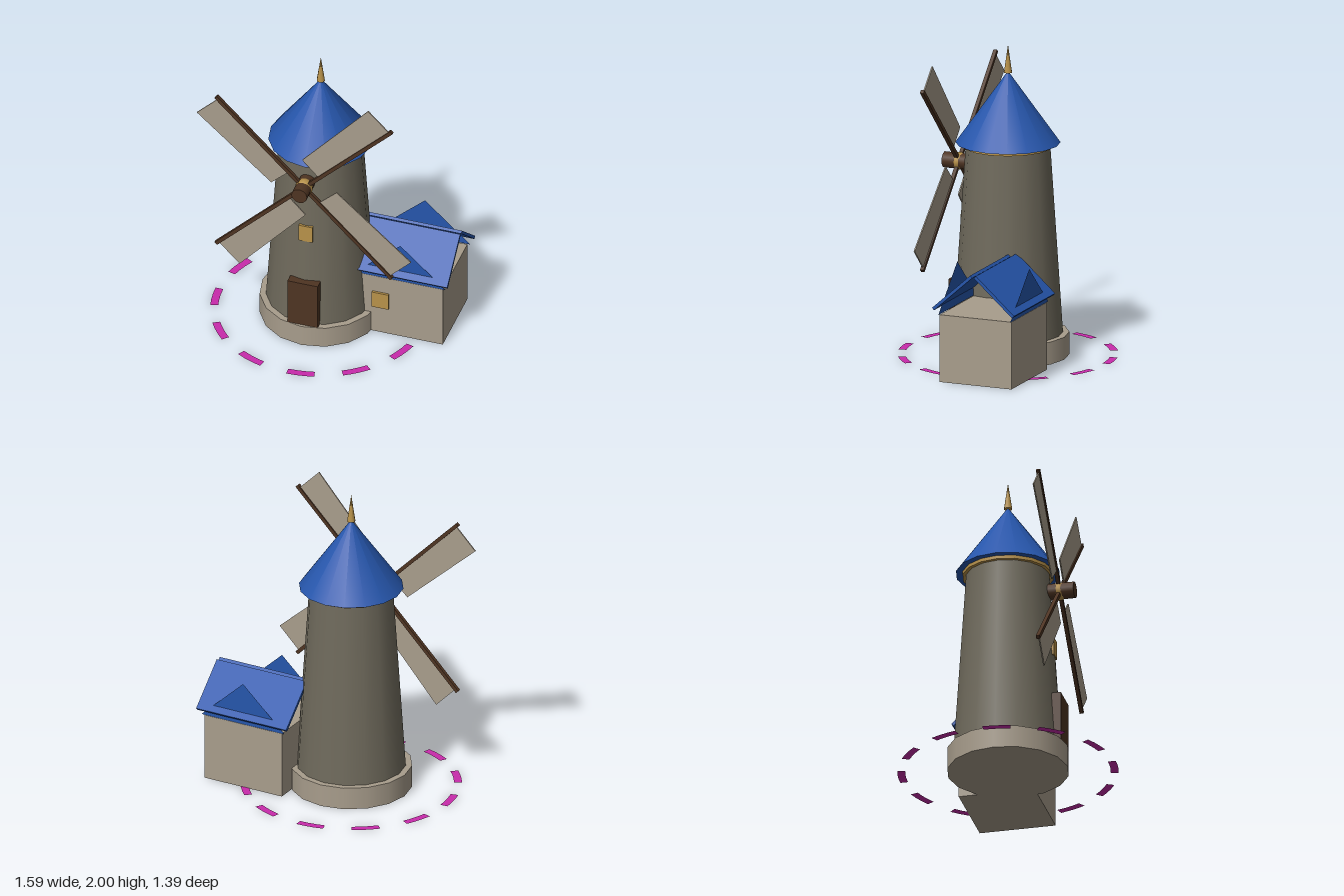
import * as THREE from 'three';

const mat = (name, color, side = THREE.FrontSide) => {
  const m = new THREE.MeshStandardMaterial({ color, side });
  m.name = name;
  return m;
};

export function createModel() {
  const stone = mat('tower stone', 0x6f6a5c);
  const plaster = mat('pale plaster', 0xa89d8c);
  const blue = mat('blue roof', 0x2656ac, THREE.DoubleSide);
  const wood = mat('dark wood', 0x4e3422);
  const gold = mat('gold', 0xb8924a);
  const magenta = mat('magenta path', 0xc82bab, THREE.DoubleSide);

  const model = new THREE.Group();
  model.name = 'windmill';

  const add = (parent, name, geometry, material, x = 0, y = 0, z = 0) => {
    const mesh = new THREE.Mesh(geometry, material);
    mesh.name = name;
    mesh.position.set(x, y, z);
    parent.add(mesh);
    return mesh;
  };
  const box = (w, h, d) => new THREE.BoxGeometry(w, h, d);
  const drum = (rTop, rBottom, h, sides = 16) => new THREE.CylinderGeometry(rTop, rBottom, h, sides);

  // Round tower, standing left of the centre
  const tower = new THREE.Group();
  tower.name = 'tower';
  tower.position.x = -0.09;
  model.add(tower);
  add(tower, 'base', drum(0.385, 0.385, 0.145), plaster, 0, 0.0725);
  add(tower, 'towerWall', drum(0.265, 0.345, 1.215), stone, 0, 0.7525);
  add(tower, 'eaveRing', drum(0.288, 0.288, 0.022), gold, 0, 1.359);
  add(tower, 'towerRoof', new THREE.ConeGeometry(0.33, 0.46, 16), blue, 0, 1.6);
  add(tower, 'finial', new THREE.ConeGeometry(0.027, 0.18, 8), gold, 0, 1.91);
  add(tower, 'door', box(0.2, 0.325, 0.06), wood, 0, 0.3075, 0.335);
  add(tower, 'towerWindow', box(0.09, 0.118, 0.04), gold, 0, 0.823, 0.287);

  // Sail wheel: hub, gold boss and four arms
  const wheel = new THREE.Group();
  wheel.name = 'sailWheel';
  wheel.position.set(0, 1.215, 0.335);
  tower.add(wheel);
  const hub = add(wheel, 'hub', drum(0.052, 0.052, 0.17, 12), wood, 0, 0, 0.013);
  hub.rotation.x = Math.PI / 2;
  add(wheel, 'hubBoss', new THREE.SphereGeometry(0.058, 8, 6), gold);

  const sailShape = new THREE.Shape([
    new THREE.Vector2(0, 0.14), new THREE.Vector2(0, 0.8),
    new THREE.Vector2(-0.2, 0.8), new THREE.Vector2(-0.16, 0.145),
  ]);
  const sailGeometry = new THREE.ExtrudeGeometry(sailShape, { depth: 0.008, bevelEnabled: false });
  for (let i = 0; i < 4; i++) {
    const arm = new THREE.Group();
    arm.name = 'sailArm';
    arm.rotation.z = Math.PI / 4 + i * Math.PI / 2;
    add(arm, 'spar', box(0.024, 0.82, 0.024), wood, 0, 0.41);
    add(arm, 'sail', sailGeometry, plaster, 0, 0, -0.004);
    wheel.add(arm);
  }

  // Side house
  const house = new THREE.Group();
  house.name = 'house';
  house.position.set(0.47, 0, -0.142);
  model.add(house);
  add(house, 'houseWalls', box(0.56, 0.435, 0.49), plaster, 0, 0.2175);
  add(house, 'houseWindow', box(0.11, 0.115, 0.04), gold, -0.13, 0.2575, 0.24);

  // Two roof slabs with a gap at the ridge, and a thin triangular gable on each side
  const gable = new THREE.ShapeGeometry(new THREE.Shape([
    new THREE.Vector2(-0.3, 0.437), new THREE.Vector2(0.3, 0.437), new THREE.Vector2(0, 0.715),
  ]));
  for (const side of [1, -1]) {
    const slab = add(house, 'roofSlab', box(0.65, 0.02, 0.35), blue, -0.005, 0.595, side * 0.143);
    slab.rotation.x = side * 0.73;
    add(house, 'gable', gable, blue, 0, 0, side * 0.246);
  }

  // Ring of flat dashes on the ground around the tower
  for (let i = 0; i < 12; i++) {
    const dash = new THREE.RingGeometry(0.645, 0.695, 1, 1, -Math.PI / 2 + i * Math.PI / 6, Math.PI / 12);
    dash.rotateX(-Math.PI / 2);
    add(tower, 'pathDash', dash, magenta, 0, 0.002);
  }
  return model;
}
